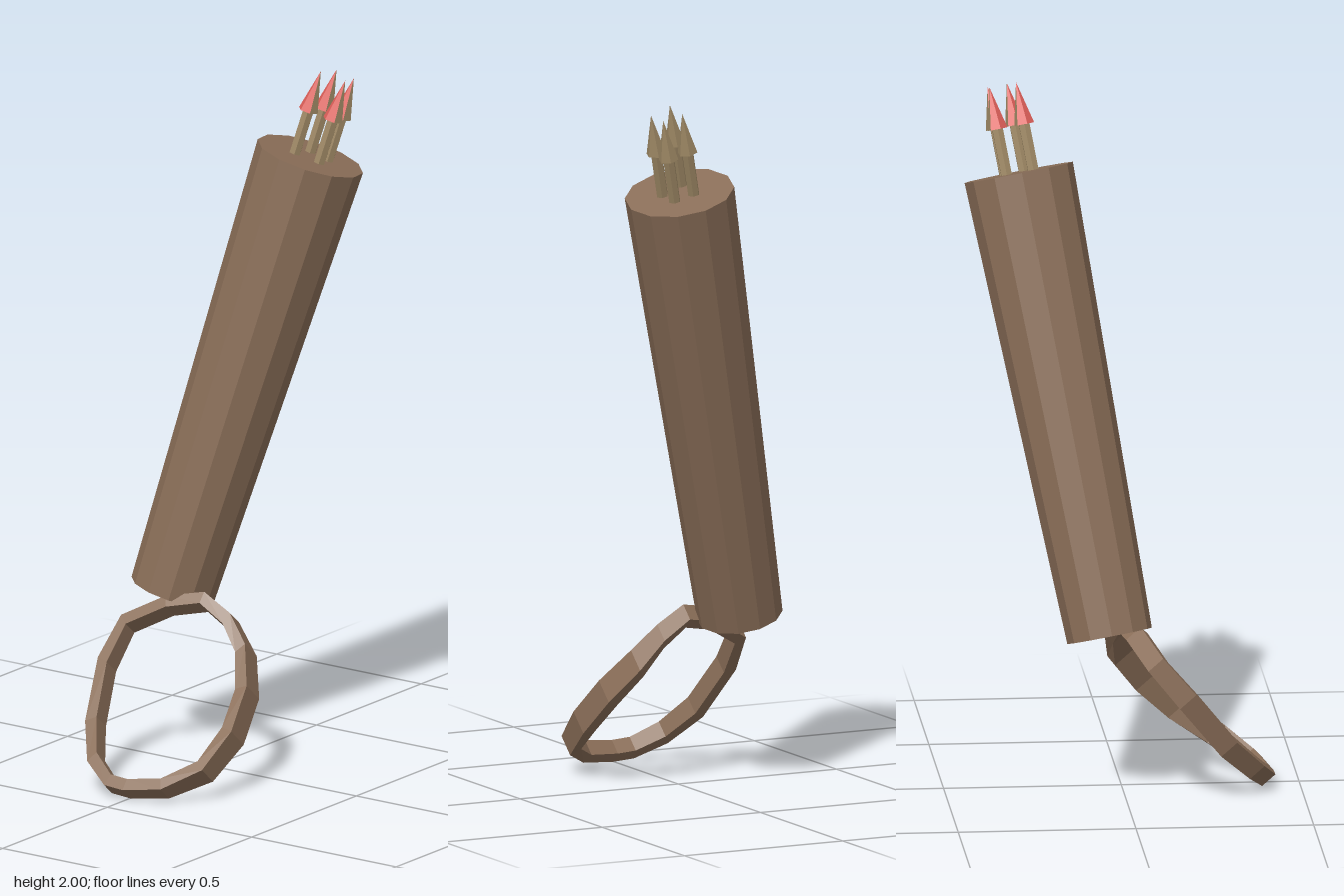
import * as THREE from 'three';

const mat = (name, color) => {
  const m = new THREE.MeshStandardMaterial({ color, flatShading: true });
  m.name = name;
  return m;
};

// Closed band with a rectangular section, swept through a loop of points
function bandGeometry(points, widths, thickness, normal) {
  const centre = points.reduce((s, p) => s.add(p), new THREE.Vector3()).divideScalar(points.length);
  const rings = points.map((p, i) => {
    const out = p.clone().sub(centre);
    out.addScaledVector(normal, -out.dot(normal)).normalize();
    return [[1, 1], [1, -1], [-1, -1], [-1, 1]].map(([o, n]) => p.clone()
      .addScaledVector(out, o * thickness / 2)
      .addScaledVector(normal, n * widths[i] / 2));
  });
  const pos = [];
  rings.forEach((a, i) => {
    const b = rings[(i + 1) % rings.length];
    for (let k = 0; k < 4; k++) {
      const j = (k + 1) % 4;
      for (const v of [a[k], b[k], b[j], a[k], b[j], a[j]]) pos.push(v.x, v.y, v.z);
    }
  });
  const g = new THREE.BufferGeometry();
  g.setAttribute('position', new THREE.Float32BufferAttribute(pos, 3));
  g.computeVertexNormals();
  return g;
}

export function createModel() {
  const model = new THREE.Group();
  model.name = 'quiver';
  const leather = mat('brown leather', 0x8a6e58);
  const wood = mat('tan wood', 0xa08a66);
  const red = mat('red', 0xe0605a);
  const add = (parent, name, geo, material, y = 0) => {
    const m = new THREE.Mesh(geo, material);
    m.name = name;
    m.position.y = y;
    parent.add(m);
    return m;
  };

  // Tapered, leaning quiver body
  const bottom = new THREE.Vector3(0.047, 0.478, -0.17);
  const top = new THREE.Vector3(0.277, 1.745, 0.14);
  const axis = top.clone().sub(bottom);
  const length = axis.length();
  const lean = new THREE.Quaternion().setFromUnitVectors(
    new THREE.Vector3(0, 1, 0), axis.normalize());
  const body = add(model, 'quiverBody',
    new THREE.CylinderGeometry(0.155, 0.121, length, 12), leather);
  body.position.copy(bottom).lerp(top, 0.5);
  body.quaternion.copy(lean);

  // Arrows, each placed by its tip and hanging down along the body axis
  const headLength = 0.12, headRadius = 0.029, shaftLength = 0.18;
  const halfCone = start => new THREE.ConeGeometry(
    headRadius, headLength, 3, 1, true, start, Math.PI);
  const tips = [[0.282, 1.998, 0.173], [0.357, 1.985, 0.173],
    [0.302, 1.978, 0.243], [0.357, 1.97, 0.233]];
  tips.forEach((tip, i) => {
    const arrow = new THREE.Group();
    arrow.name = `arrow${i + 1}`;
    arrow.position.set(...tip);
    arrow.quaternion.copy(lean);
    model.add(arrow);
    add(arrow, 'shaft', new THREE.CylinderGeometry(0.017, 0.017, shaftLength, 6),
      wood, -headLength - shaftLength / 2);
    add(arrow, 'headRedSide', halfCone(Math.PI * 0.75), red, -headLength / 2);
    add(arrow, 'headTanSide', halfCone(Math.PI * 1.75), wood, -headLength / 2);
    const base = add(arrow, 'headBase',
      new THREE.CircleGeometry(headRadius, 6, Math.PI / 4), wood, -headLength);
    base.rotation.x = Math.PI / 2;
  });

  // Strap loop hanging from the lower end: x, y, z, band width
  const loop = [
    [0.0, 0.48, -0.02, 0.055], [0.008, 0.43, 0.06, 0.06], [-0.01, 0.355, 0.125, 0.075],
    [-0.08, 0.265, 0.18, 0.08], [-0.18, 0.17, 0.203, 0.08], [-0.29, 0.09, 0.187, 0.07],
    [-0.37, 0.045, 0.105, 0.055], [-0.398, 0.033, 0.0, 0.05], [-0.398, 0.037, -0.06, 0.05],
    [-0.36, 0.08, -0.14, 0.055], [-0.28, 0.16, -0.2, 0.06], [-0.17, 0.3, -0.24, 0.06],
    [-0.085, 0.4, -0.23, 0.055], [-0.035, 0.46, -0.12, 0.055],
  ];
  const normal = new THREE.Vector3(0.75, -0.66, 0).normalize();
  const strap = bandGeometry(loop.map(p => new THREE.Vector3(p[0], p[1], p[2])),
    loop.map(p => p[3]), 0.036, normal);
  // Both sides drawn because the band is thin
  leather.side = THREE.DoubleSide;
  orientOutward(strap, loop, normal);
  add(model, 'strap', strap, leather);
  return model;
}

// Flip the band's winding if its enclosed volume comes out negative
function orientOutward(g) {
  const p = g.attributes.position;
  const [a, b, c] = [0, 1, 2].map(() => new THREE.Vector3());
  let volume = 0;
  for (let i = 0; i < p.count; i += 3) {
    a.fromBufferAttribute(p, i);
    b.fromBufferAttribute(p, i + 1);
    c.fromBufferAttribute(p, i + 2);
    volume += a.dot(b.cross(c));
  }
  if (volume >= 0) return;
  for (let i = 0; i < p.count; i += 3) {
    b.fromBufferAttribute(p, i + 1);
    c.fromBufferAttribute(p, i + 2);
    p.setXYZ(i + 1, c.x, c.y, c.z);
    p.setXYZ(i + 2, b.x, b.y, b.z);
  }
  g.computeVertexNormals();
}
